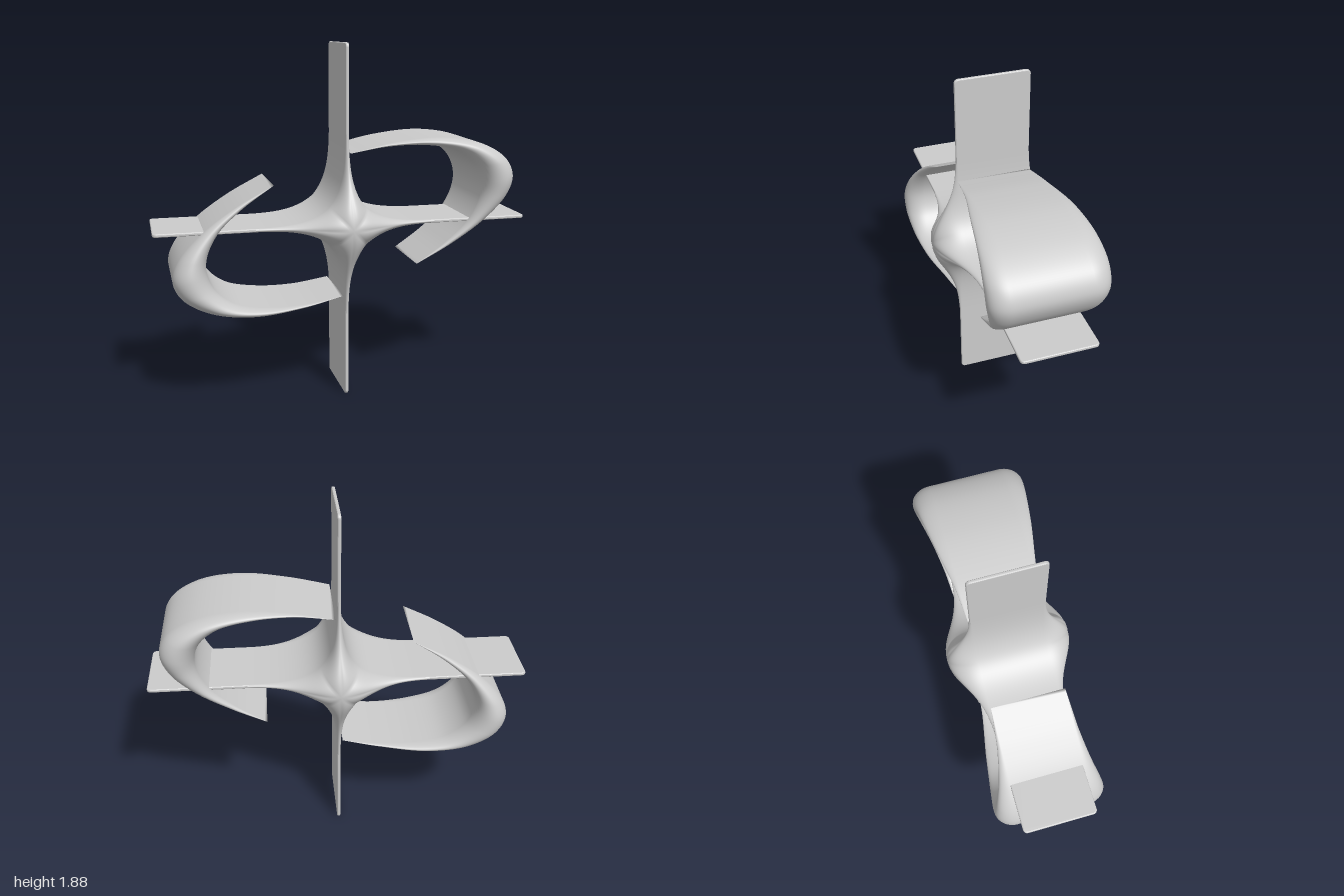
import * as THREE from 'three';
import { mergeVertices, mergeGeometries } from 'three/addons/utils/BufferGeometryUtils.js';

const CENTRE_Y = 0.94, HALF_THICK = 0.009, HALF_DEPTH = 0.195;
const material = new THREE.MeshStandardMaterial({ color: 0xcccccc });

// Smooth surface from a rule point(u, v) -> [x, y, z]
function gridSurface(nu, nv, point) {
  const positions = [], index = [];
  for (let i = 0; i <= nu; i++)
    for (let j = 0; j <= nv; j++) positions.push(...point(i / nu, j / nv));
  for (let i = 0; i < nu; i++)
    for (let j = 0; j < nv; j++) {
      const a = i * (nv + 1) + j, b = a + nv + 1;
      index.push(a, a + 1, b, b, a + 1, b + 1);
    }
  const geometry = new THREE.BufferGeometry();
  geometry.setAttribute('position', new THREE.Float32BufferAttribute(positions, 3));
  geometry.setIndex(index);
  return geometry;
}

function smooth(geometry) {
  const merged = mergeVertices(geometry, 1e-5);
  merged.computeVertexNormals();
  return merged;
}

// Thin strip with rounded corners and edges, lying along x
function plateGeometry(length) {
  const bevel = 0.006, r = 0.016;
  const x = length / 2 - bevel, y = HALF_DEPTH - bevel;
  const s = new THREE.Shape();
  s.absarc(x - r, y - r, r, 0, Math.PI / 2);
  s.absarc(-x + r, y - r, r, Math.PI / 2, Math.PI);
  s.absarc(-x + r, -y + r, r, Math.PI, Math.PI * 1.5);
  s.absarc(x - r, -y + r, r, Math.PI * 1.5, Math.PI * 2);
  const depth = 2 * (HALF_THICK - bevel);
  const g = new THREE.ExtrudeGeometry(s, {
    depth, bevelThickness: bevel, bevelSize: bevel, bevelSegments: 3, curveSegments: 6,
  });
  return g.translate(0, 0, -depth / 2).rotateX(Math.PI / 2);
}

// Flared four-way hub: one quadrant, swollen towards the middle, turned four times
function hubGeometry() {
  const reach = 0.48, zBase = HALF_DEPTH - HALF_THICK;
  const edge = new THREE.CubicBezierCurve(
    new THREE.Vector2(reach, HALF_THICK), new THREE.Vector2(0.09, 0.01),
    new THREE.Vector2(0.01, 0.09), new THREE.Vector2(HALF_THICK, reach));
  const quadrant = gridSurface(64, 33, (u, v) => {
    const a = reach * (1 - 2 * u);
    const spine = new THREE.Vector2(Math.max(a, 0), Math.max(-a, 0));
    const swell = HALF_THICK + 0.143 * Math.exp(-((a / 0.235) ** 2));
    // front cap, straight wall, back cap
    const j = Math.round(v * 33), front = j <= 16;
    const angle = (front ? j : 33 - j) / 16 * Math.PI / 2;
    const p = spine.lerp(edge.getPoint(u), Math.sin(angle));
    const z = zBase + swell * Math.cos(angle);
    return [p.x, p.y, front ? z : -z];
  });
  const parts = [0, 1, 2, 3].map(k => quadrant.clone().rotateZ(k * Math.PI / 2));
  return smooth(mergeGeometries(parts));
}

// Crescent band: stadium section swept between an outer and an inner curve
function crescentGeometry() {
  const spline = pts => new THREE.CatmullRomCurve3(
    pts.map(([x, y]) => new THREE.Vector3(x, y - CENTRE_Y, 0)));
  const tipA = [0.02, 1.32], tipB = [0.385, 0.71];
  const outer = spline([tipA, [0.25, 1.37], [0.52, 1.39], [0.74, 1.35], [0.87, 1.27],
    [0.91, 1.18], [0.88, 1.08], [0.76, 0.945], [0.58, 0.815], tipB]);
  const inner = spline([tipA, [0.22, 1.35], [0.42, 1.353], [0.59, 1.32], [0.695, 1.24],
    [0.736, 1.145], [0.732, 1.06], [0.672, 0.94], [0.55, 0.825], tipB]);
  return smooth(gridSurface(108, 42, (u, v) => {
    const o = outer.getPoint(u), i = inner.getPoint(u);
    const mid = o.clone().add(i).multiplyScalar(0.5);
    const half = o.sub(i).multiplyScalar(0.5);
    // two half rounds joined by straight walls
    const j = Math.round(v * 42) % 42, front = j < 21;
    const angle = (front ? j : j - 21) / 20 * Math.PI;
    const side = front ? 1 : -1;
    mid.addScaledVector(half, side * Math.cos(angle));
    const z = side * (HALF_DEPTH + 1.2 * half.length() * Math.sin(angle));
    return [mid.x, mid.y, z];
  }));
}

export function createModel() {
  const model = new THREE.Group();
  model.name = 'starSculpture';
  const add = (name, geometry, turn = 0) => {
    const mesh = new THREE.Mesh(geometry, material);
    mesh.name = name;
    mesh.position.y = CENTRE_Y;
    mesh.rotation.z = turn;
    model.add(mesh);
  };

  add('horizontalBlade', plateGeometry(2));
  add('verticalBlade', plateGeometry(2 * CENTRE_Y), Math.PI / 2);
  add('hub', hubGeometry());

  // Matching crescents, half a turn apart
  const crescent = crescentGeometry();
  add('leftCrescent', crescent);
  add('rightCrescent', crescent, Math.PI);
  return model;
}
